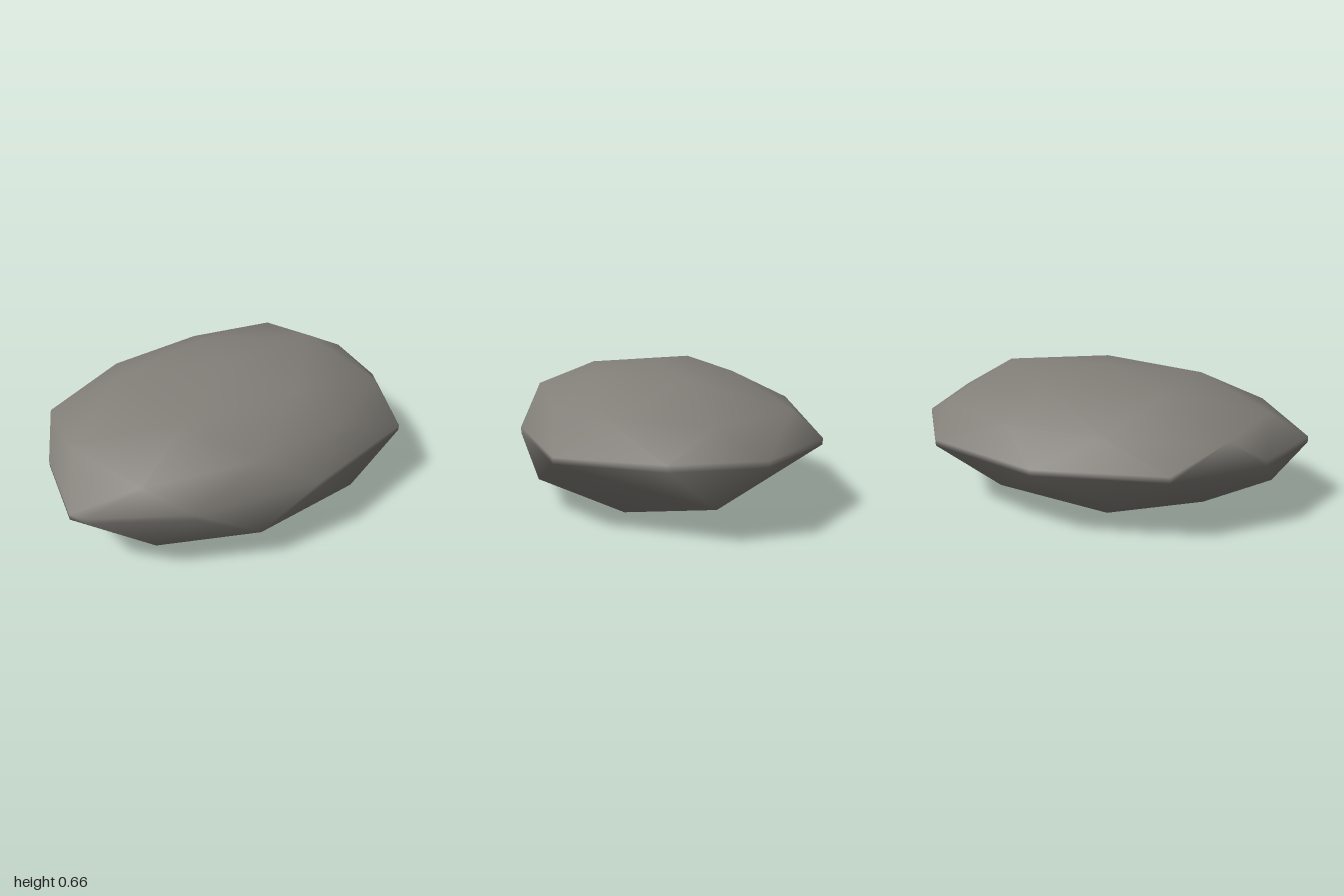
import * as THREE from 'three';
import { ConvexGeometry } from 'three/addons/geometries/ConvexGeometry.js';
import { mergeVertices } from 'three/addons/utils/BufferGeometryUtils.js';

// Rings of the stone from base to crown, each corner as [x, y, z]
const base = [[0.46, 0, 0.3], [-0.15, 0, 0.42], [-0.54, 0, 0], [-0.15, 0, -0.33], [0.5, 0.09, -0.32]];
const lower = [
  [0.97, 0.155, 0.02], [0.32, 0.15, 0.68], [-0.28, 0.175, 0.69], [-0.7, 0.155, 0.45],
  [-0.88, 0.18, 0], [-0.28, 0.165, -0.57], [0.3, 0.165, -0.58],
];
const belt = [
  [0.95, 0.335, 0.22], [0.68, 0.33, 0.65], [0.04, 0.33, 0.735], [-0.56, 0.33, 0.57], [-0.95, 0.33, 0.3],
  [-1, 0.335, 0.23], [-0.89, 0.33, -0.18], [-0.56, 0.33, -0.56], [0.04, 0.33, -0.74], [0.66, 0.335, -0.6],
  [1, 0.34, -0.19],
];
const upper = [
  [0.88, 0.47, 0], [0.71, 0.5, 0.43], [0.27, 0.49, 0.6], [-0.24, 0.52, 0.61], [-0.72, 0.47, 0.4],
  [-0.85, 0.52, 0], [-0.76, 0.48, -0.38], [-0.26, 0.48, -0.58], [0.27, 0.48, -0.58], [0.7, 0.5, -0.42],
];
const crown = [
  [0.6, 0.635, 0.03], [0.18, 0.62, 0.39], [-0.41, 0.605, 0.29], [-0.41, 0.62, -0.26], [0.18, 0.61, -0.32],
  [0.03, 0.662, 0.03],
];
const BEVEL = 0.015;

export function createModel() {
  const group = new THREE.Group();
  group.name = 'stone';

  // The belt is doubled into a narrow bevel that softens the widest ridge
  const bevelled = belt.flatMap(([x, y, z]) => [[x, y - BEVEL, z], [x, y + BEVEL, z]]);
  const points = [...base, ...lower, ...bevelled, ...upper, ...crown].map((p) => new THREE.Vector3(...p));

  // Hull over the rings, with shared corners for smooth, area-weighted normals
  const hull = new ConvexGeometry(points);
  hull.deleteAttribute('normal');
  const geometry = mergeVertices(hull);
  geometry.computeVertexNormals();

  const boulder = new THREE.Mesh(geometry, new THREE.MeshStandardMaterial({ color: 0x827f79 }));
  boulder.name = 'boulder';
  group.add(boulder);
  return group;
}
